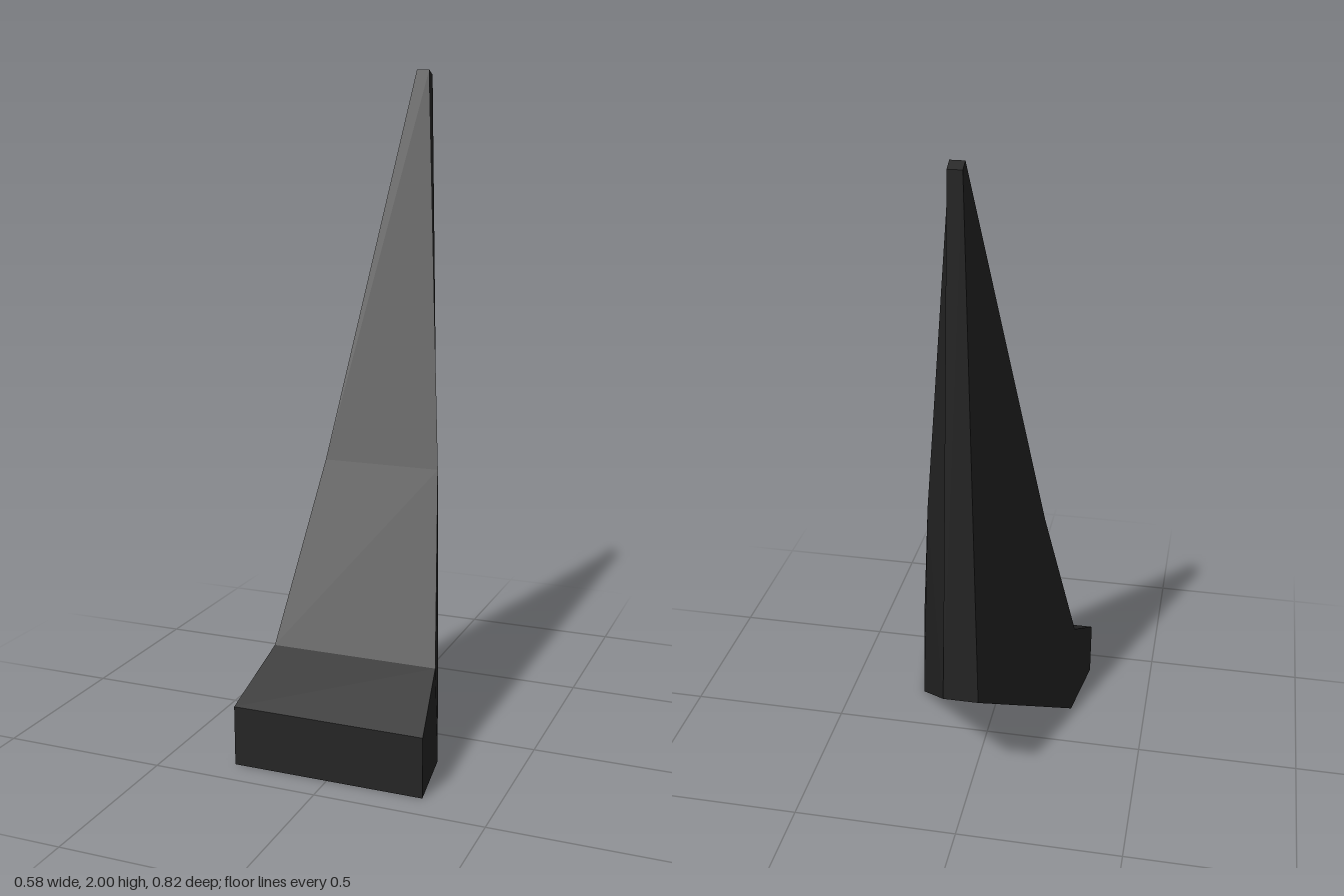
import * as THREE from 'three';

// Cross-sections from toe to tip: [upper edge, lower edge], each edge [half width, y, z]
const SECTIONS = [
  [[0.29, 0.18, 0.41], [0.29, 0, 0.41]],
  [[0.255, 0.3, 0.205], [0.255, 0, 0.175]],
  [[0.181, 0.83, -0.02], [0.052, 0.42, -0.407]],
  [[0.02, 2, -0.378], [0.02, 1.985, -0.41]],
];

function loftSections(sections) {
  const positions = [];
  const tri = (...corners) => corners.forEach((c) => positions.push(...c));

  // Four corners per section, counter-clockwise seen from the front
  const rings = sections.map(([[uw, uy, uz], [lw, ly, lz]]) => [
    [uw, uy, uz], [-uw, uy, uz], [-lw, ly, lz], [lw, ly, lz],
  ]);

  for (let i = 0; i < rings.length - 1; i++) {
    const a = rings[i], b = rings[i + 1];
    for (let j = 0; j < 4; j++) {
      const k = (j + 1) % 4;
      // The two flanks use mirrored diagonals
      if (j === 3) {
        tri(a[j], b[j], b[k]);
        tri(a[j], b[k], a[k]);
      } else {
        tri(a[j], b[j], a[k]);
        tri(b[j], b[k], a[k]);
      }
    }
  }

  // Toe and tip caps
  const toe = rings[0], tip = rings[rings.length - 1];
  tri(toe[0], toe[1], toe[2]);
  tri(toe[0], toe[2], toe[3]);
  tri(tip[0], tip[2], tip[1]);
  tri(tip[0], tip[3], tip[2]);

  const geometry = new THREE.BufferGeometry();
  geometry.setAttribute('position', new THREE.Float32BufferAttribute(positions, 3));
  geometry.computeVertexNormals();
  return geometry;
}

export function createModel() {
  const charcoal = new THREE.MeshStandardMaterial({ color: 0x242424 });
  charcoal.name = 'charcoal';
  charcoal.flatShading = true;

  const group = new THREE.Group();
  group.name = 'taperedFin';

  const body = new THREE.Mesh(loftSections(SECTIONS), charcoal);
  body.name = 'finBody';
  group.add(body);
  return group;
}
